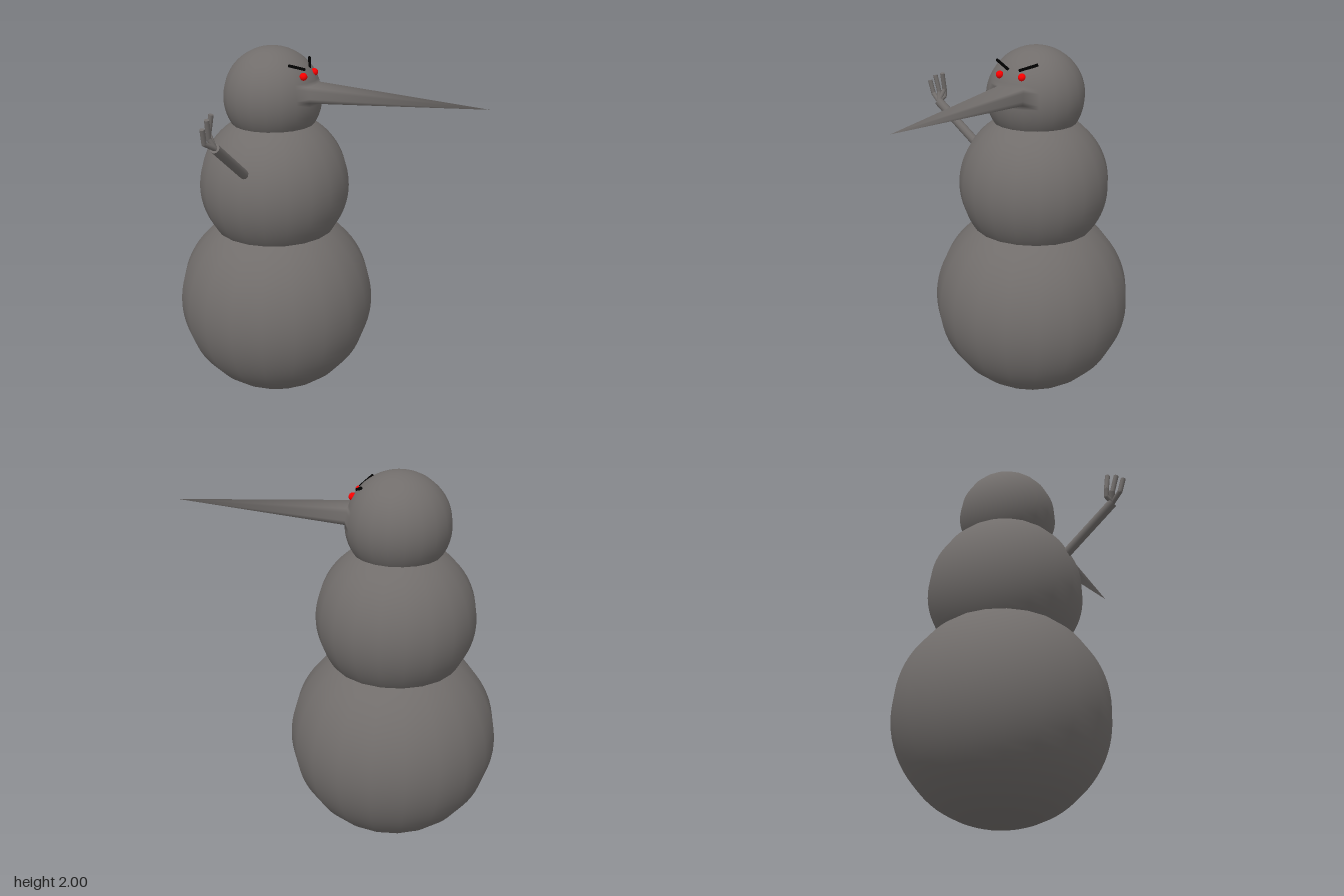
import * as THREE from 'three';
import { mergeVertices } from 'three/addons/utils/BufferGeometryUtils.js';

const CX = -0.307, CZ = -0.091; // vertical axis of the body
const HEAD_R = 0.265, HEAD_Y = 1.735;
const SIDES = 20, STACKS = 40;
const bodyGrey = new THREE.MeshStandardMaterial({ color: 0x716d6b });
const red = new THREE.MeshStandardMaterial({ color: 0xff0000 });
const black = new THREE.MeshStandardMaterial({ color: 0x000000 });

const V = (p) => new THREE.Vector3(...p);

function add(parent, name, geometry, material, position = [0, 0, 0]) {
  const mesh = new THREE.Mesh(geometry, material);
  mesh.name = name;
  mesh.position.set(...position);
  parent.add(mesh);
  return mesh;
}

// Straight bar between two points
function bar(parent, name, a, b, r, sides, material) {
  const from = V(a), dir = V(b).sub(from);
  const mesh = add(parent, name, new THREE.CylinderGeometry(r, r, dir.length(), sides), material);
  mesh.position.copy(from).addScaledVector(dir, 0.5);
  mesh.quaternion.setFromUnitVectors(new THREE.Vector3(0, 1, 0), dir.normalize());
}

// Bars joined by small knuckle spheres
function limb(parent, name, points, r) {
  const group = new THREE.Group();
  group.name = name;
  for (let i = 1; i < points.length; i++) {
    bar(group, name + 'Segment', points[i - 1], points[i], r, 10, bodyGrey);
    add(group, name + 'Joint', new THREE.SphereGeometry(r, 10, 8), bodyGrey, points[i - 1]);
  }
  parent.add(group);
}

// Sphere whose patch facing +x is drawn out into a long pointed nose, with shared smooth normals
function headGeometry() {
  const sphere = new THREE.SphereGeometry(HEAD_R, SIDES, STACKS);
  const top = 16, bottom = 20, first = SIDES / 2 - 1, last = SIDES / 2 + 1;
  const id = (row, col) => row * (SIDES + 1) + col;
  const inPatch = (v) => {
    const row = Math.floor(v / (SIDES + 1)), col = v % (SIDES + 1);
    return row >= top && row <= bottom && col >= first && col <= last;
  };

  // Keep every triangle outside the patch
  const old = sphere.index.array, index = [];
  for (let i = 0; i < old.length; i += 3) {
    const tri = [old[i], old[i + 1], old[i + 2]];
    if (!tri.every(inPatch)) index.push(...tri);
  }

  // Fan from the rim of the patch to the tip
  const rim = [];
  for (let c = last; c > first; c--) rim.push(id(top, c));
  for (let r = top; r < bottom; r++) rim.push(id(r, first));
  for (let c = first; c < last; c++) rim.push(id(bottom, c));
  for (let r = bottom; r > top; r--) rim.push(id(r, last));
  const pos = [...sphere.attributes.position.array];
  const tip = pos.length / 3;
  pos.push(0.86 - CX, 1.776 - HEAD_Y, 0);
  rim.forEach((v, i) => index.push(v, rim[(i + 1) % rim.length], tip));

  const g = new THREE.BufferGeometry();
  g.setAttribute('position', new THREE.Float32BufferAttribute(pos, 3));
  g.setIndex(index);
  const merged = mergeVertices(g);
  merged.computeVertexNormals();
  return merged;
}

export function createModel() {
  const model = new THREE.Group();
  model.name = 'snowman';

  // Three stacked snowballs, the top one carrying the nose
  add(model, 'lowerBody', new THREE.SphereGeometry(0.553, SIDES, STACKS), bodyGrey, [CX, 0.555, CZ]);
  add(model, 'middleBody', new THREE.SphereGeometry(0.413, SIDES, STACKS), bodyGrey, [CX, 1.246, CZ]);
  add(model, 'headWithNose', headGeometry(), bodyGrey, [CX, HEAD_Y, CZ]);

  // Eyes and slanted brows
  for (const [side, s] of [['left', -1], ['right', 1]]) {
    add(model, side + 'Eye', new THREE.SphereGeometry(0.02, 16, 12), red, [-0.088, 1.871, -0.076 + s * 0.068]);
    bar(model, side + 'Brow', [-0.143, 1.932, -0.079 + s * 0.125], [-0.102, 1.899, -0.084 + s * 0.033], 0.008, 8, black);
  }

  // Single raised arm with bent fingers
  const wrist = [-0.292, 1.62, 0.557];
  limb(model, 'arm', [[-0.292, 1.383, 0.25], wrist], 0.025);
  limb(model, 'innerFinger', [wrist, [-0.33, 1.685, 0.543], [-0.312, 1.78, 0.543]], 0.013);
  limb(model, 'middleFinger', [wrist, [-0.315, 1.67, 0.57], [-0.308, 1.765, 0.591]], 0.013);
  limb(model, 'outerFinger', [wrist, [-0.315, 1.655, 0.613], [-0.31, 1.73, 0.632]], 0.013);
  limb(model, 'thumb', [wrist, [-0.325, 1.645, 0.54], [-0.333, 1.685, 0.545]], 0.013);

  return model;
}
